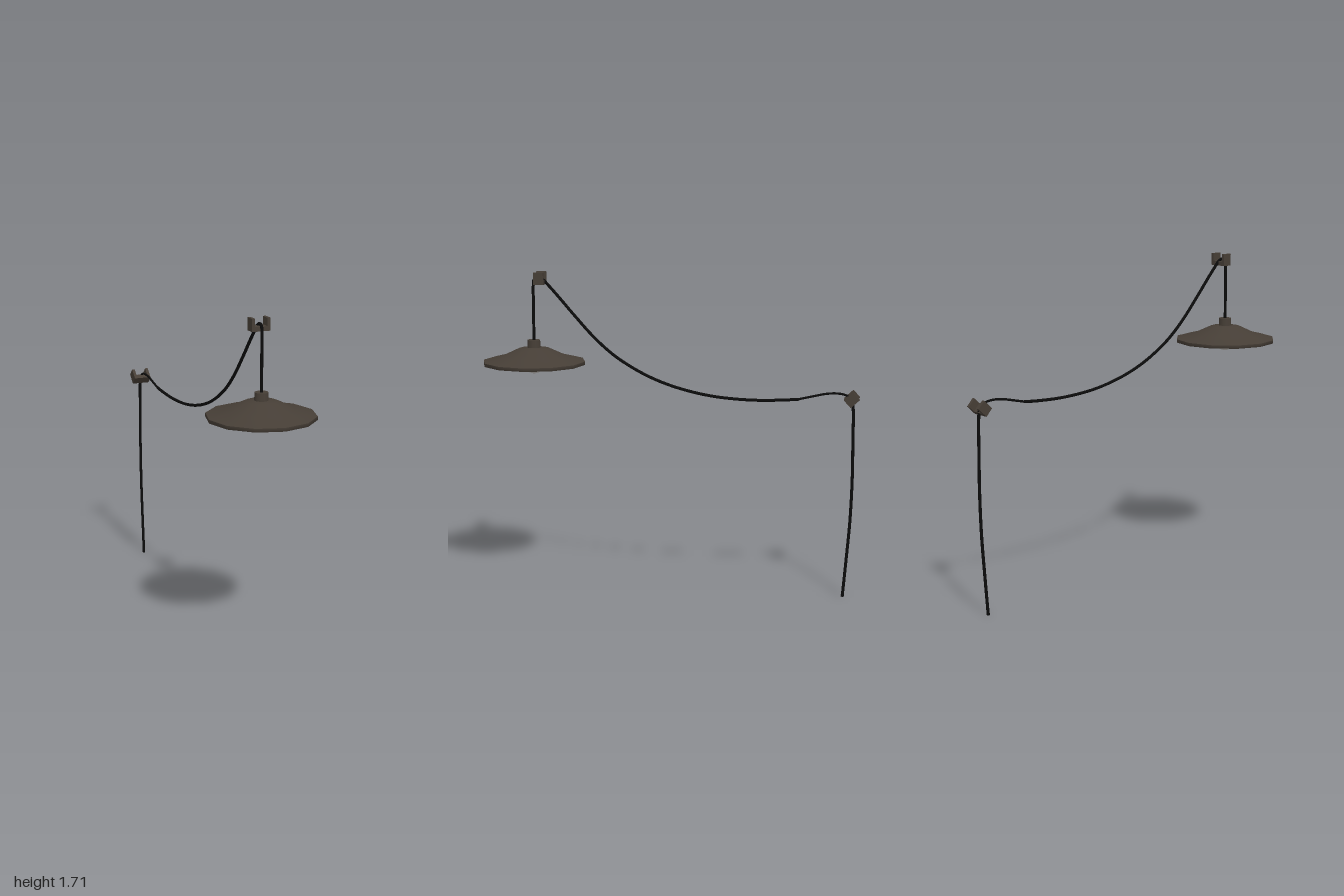
import * as THREE from 'three';

const paint = (name, color, side = THREE.FrontSide) => {
  const m = new THREE.MeshStandardMaterial({ color, side });
  m.name = name;
  return m;
};

export function createModel() {
  const model = new THREE.Group();
  model.name = 'hangingLamp';
  const metal = paint('dark bronze', 0x463e36);
  const black = paint('cord black', 0x0b0b0b);
  const enamel = paint('shade lining grey', 0x7a7774);
  const glass = paint('bulb white', 0xc8c4c0);

  const add = (name, geometry, material, parent = model) => {
    const mesh = new THREE.Mesh(geometry, material);
    mesh.name = name;
    parent.add(mesh);
    return mesh;
  };
  const lathe = (points) => new THREE.LatheGeometry(points.map(([r, y]) => new THREE.Vector2(r, y)), 12);

  // Lamp: twelve-sided shade, rim, lining, socket and bulb
  const lamp = new THREE.Group();
  lamp.name = 'lamp';
  lamp.position.z = 0.725;
  model.add(lamp);
  add('shade', lathe([[0.274, 1.243], [0.165, 1.27], [0.08, 1.31], [0.03, 1.315]]), metal, lamp);
  add('shadeRim', lathe([[0.265, 1.225], [0.274, 1.225], [0.274, 1.243]]), metal, lamp);
  add('shadeLining', lathe([[0, 1.3], [0.075, 1.298], [0.16, 1.258], [0.265, 1.225]]), enamel, lamp);
  add('socket', new THREE.CylinderGeometry(0.034, 0.036, 0.055, 12), metal, lamp).position.y = 1.327;
  add('bulbNeck', new THREE.CylinderGeometry(0.03, 0.03, 0.04, 12), metal, lamp).position.y = 1.29;
  add('bulb', new THREE.SphereGeometry(0.061, 16, 12), glass, lamp).position.y = 1.236;

  // Cord runs, as (z, y) points with a radius
  const cord = (name, radius, points) => {
    const path = new THREE.CatmullRomCurve3(points.map(([z, y]) => new THREE.Vector3(0, y, z)), false, 'centripetal');
    add(name, new THREE.TubeGeometry(path, points.length * 5, radius, 8), black);
    // closed ends
    [0, 1].forEach((t) => {
      const cap = add(name + 'End', new THREE.SphereGeometry(radius, 8, 6), black);
      cap.position.copy(path.getPoint(t));
      cap.position.y = Math.max(cap.position.y, radius);
    });
  };
  cord('lampCord', 0.008, [[0.725, 1.34], [0.724, 1.5], [0.722, 1.66], [0.716, 1.68], [0.69, 1.684], [0.665, 1.67]]);
  cord('swagCord', 0.008, [[0.665, 1.67], [0.6, 1.598], [0.5, 1.482], [0.4, 1.372], [0.3, 1.283], [0.2, 1.217],
    [0.1, 1.165], [0, 1.126], [-0.1, 1.097], [-0.2, 1.076], [-0.3, 1.063], [-0.45, 1.055], [-0.6, 1.059], [-0.68, 1.065]]);
  cord('thinCord', 0.006, [[-0.68, 1.065], [-0.75, 1.081], [-0.82, 1.096], [-0.88, 1.1], [-0.93, 1.09], [-0.96, 1.06]]);
  cord('tailCord', 0.008, [[-0.96, 1.06], [-0.966, 1.02], [-0.968, 0.85], [-0.969, 0.65], [-0.962, 0.42], [-0.946, 0.2], [-0.93, 0]]);

  // U-shaped cord hooks
  const hookShape = new THREE.Shape([[-0.048, -0.032], [0.048, -0.032], [0.048, 0.032], [0.032, 0.032],
    [0.032, -0.008], [-0.032, -0.008], [-0.032, 0.032], [-0.048, 0.032]].map(([x, y]) => new THREE.Vector2(x, y)));
  const hookGeometry = new THREE.ExtrudeGeometry(hookShape, { depth: 0.052, bevelEnabled: false });
  hookGeometry.translate(0, 0, -0.026);
  const hook = (name, y, z, tilt) => {
    const mesh = add(name, hookGeometry, metal);
    mesh.position.set(0, y, z);
    mesh.rotation.x = tilt;
  };
  hook('upperHook', 1.682, 0.688, 0);
  hook('lowerHook', 1.073, -0.959, -0.83);

  return model;
}
